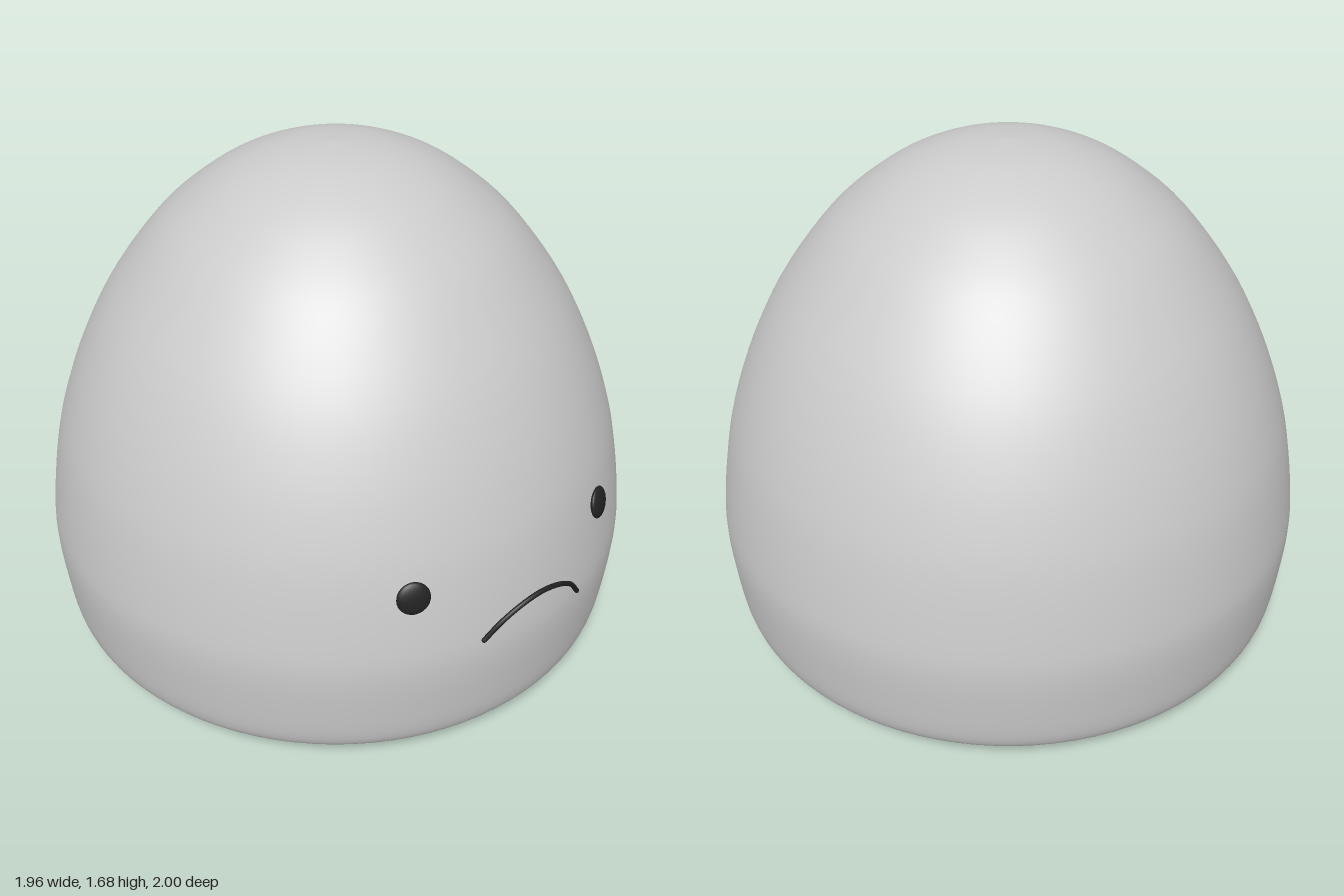
import * as THREE from 'three';

const grey = new THREE.MeshStandardMaterial({ color: 0xcccccc });
const dark = new THREE.MeshStandardMaterial({ color: 0x222222 });

function add(parent, name, geometry, material) {
  const mesh = new THREE.Mesh(geometry, material);
  mesh.name = name;
  parent.add(mesh);
  return mesh;
}

export function createModel() {
  const model = new THREE.Group();
  model.name = 'droopyDumpling';

  // Domed body: flat underside, rounded foot, tall tapering crown
  const side = new THREE.SplineCurve([
    [0.79, 0.008], [0.86, 0.022], [0.92, 0.058], [0.952, 0.11], [0.97, 0.23],
    [0.981, 0.37], [0.975, 0.48], [0.947, 0.66], [0.91, 0.81], [0.84, 1.0],
    [0.737, 1.2], [0.59, 1.4], [0.46, 1.52], [0.33, 1.605], [0.17, 1.664], [0, 1.683],
  ].map(([r, y]) => new THREE.Vector2(r, y))).getPoints(64);
  side[side.length - 1].x = 0;
  const profile = [new THREE.Vector2(0, 0), new THREE.Vector2(0.4, 0.003), ...side];
  const body = add(model, 'body', new THREE.LatheGeometry(profile, 96), grey);
  body.position.z = -0.015;

  // Flattened button eyes lying on the surface
  for (const s of [-1, 1]) {
    const eye = add(model, s > 0 ? 'leftEye' : 'rightEye', new THREE.SphereGeometry(0.052, 32, 16), dark);
    eye.scale.z = 0.3;
    eye.position.set(s * 0.378, 0.662, 0.861);
    eye.rotation.set(-0.22, s * 0.41, 0, 'YXZ');
  }

  // Downturned mouth: thin arched line with round ends
  const mouth = new THREE.Group();
  mouth.name = 'mouth';
  model.add(mouth);
  const arch = new THREE.CatmullRomCurve3([
    [-0.175, 0.457, 0.955], [-0.125, 0.518, 0.974], [-0.06, 0.561, 0.988], [0.015, 0.576, 0.992],
    [0.09, 0.56, 0.988], [0.16, 0.515, 0.974], [0.212, 0.45, 0.957],
  ].map((p) => new THREE.Vector3(...p)));
  const radius = 0.008;
  add(mouth, 'mouthLine', new THREE.TubeGeometry(arch, 48, radius, 10), dark);
  for (const t of [0, 1]) {
    add(mouth, 'mouthEnd', new THREE.SphereGeometry(radius, 10, 8), dark).position.copy(arch.getPoint(t));
  }

  return model;
}
